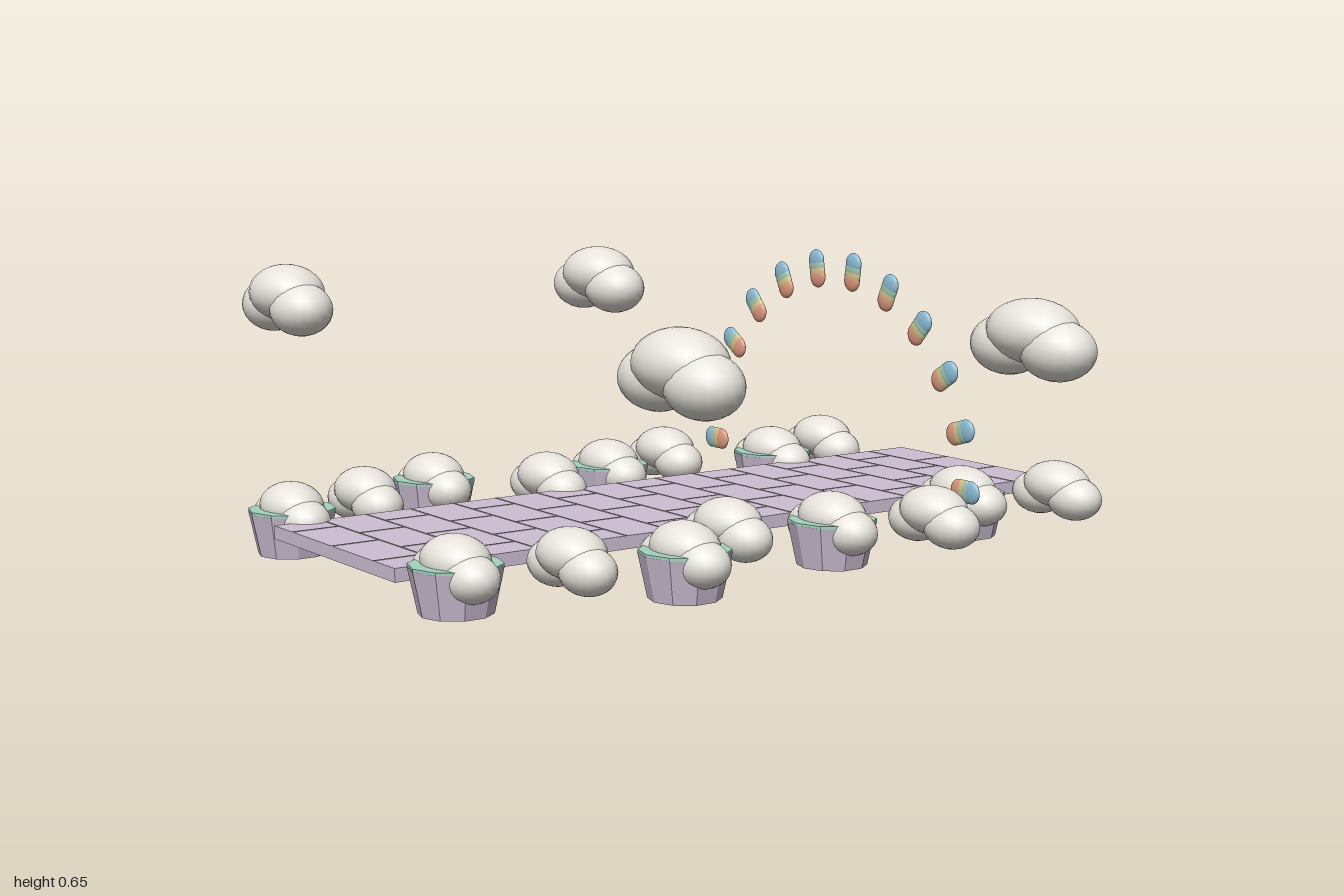
import * as THREE from 'three';

const mat = (name, color, flatShading = false) => {
  const m = new THREE.MeshStandardMaterial({ color, flatShading });
  m.name = name;
  return m;
};

export function createModel() {
  const root = new THREE.Group();
  const lilac = mat('lilac stone', 0xcdbfd3, true);
  const seam = mat('pale seam', 0xbfb4bd);
  const white = mat('cloud white', 0xe6e4dc);
  const green = mat('mint rim', 0xa3d2bf, true);
  const rainbow = [
    mat('coral', 0xe09a80), mat('soft yellow', 0xd8c48c),
    mat('soft green', 0xa0c8b0), mat('sky blue', 0x8cbcd6),
  ];

  const add = (parent, name, geo, material, x, y, z) => {
    const m = new THREE.Mesh(geo, material);
    m.name = name;
    m.position.set(x, y, z);
    parent.add(m);
    return m;
  };

  // Walkway slab
  const W = 0.55, L = 1.838, midZ = -0.009, top = 0.088;
  add(root, 'walkway', new THREE.BoxGeometry(W, 0.03, L), lilac, 0, top - 0.015, midZ);

  // Staggered paving seams on the slab
  const seams = new THREE.Group();
  seams.name = 'pavingSeams';
  root.add(seams);
  const rows = 16, step = L / rows;
  const across = new THREE.BoxGeometry(W - 0.004, 0.002, 0.004);
  const along = new THREE.BoxGeometry(0.004, 0.002, step);
  for (let i = 0; i < rows; i++) {
    const z = midZ - L / 2 + i * step;
    if (i > 0) add(seams, 'rowSeam', across, seam, 0, top, z);
    const joints = i % 2 ? [-0.185, 0, 0.185] : [-0.0925, 0.0925];
    for (const x of joints) add(seams, 'jointSeam', along, seam, x, top, z + step / 2);
  }

  // Puffs: one central ellipsoid with a lower lobe on each side
  const ball = new THREE.SphereGeometry(1, 20, 14);
  const cloud = (name, x, y, z, s) => {
    const g = new THREE.Group();
    g.name = name;
    g.position.set(x, y, z);
    g.scale.setScalar(s);
    add(g, 'centrePuff', ball, white, 0, 0.035, 0).scale.set(0.115, 0.07, 0.087);
    for (const side of [-1, 1])
      add(g, 'sidePuff', ball, white, side * 0.075, 0, 0).scale.set(0.092, 0.066, 0.074);
    root.add(g);
  };

  // Borders: puffs along both sides, every second one in a planter
  const pot = new THREE.CylinderGeometry(0.1, 0.079, 0.098, 10);
  const rim = new THREE.CylinderGeometry(0.0995, 0.0995, 0.006, 10);
  for (const side of [-1, 1]) {
    for (let i = 0; i < 8; i++) {
      const x = side * (0.367 + 0.079 * (i % 3));
      const z = 0.82 - 0.2305 * i;
      cloud('borderPuff', x, 0.082, z, 0.785);
      if (i % 2 === 0) {
        add(root, 'planter', pot, lilac, x, 0.049, z);
        add(root, 'planterRim', rim, green, x, 0.101, z);
      }
    }
    // Floating clouds
    for (const z of [0.59, -0.332]) cloud('floatingCloud', side * 0.832, 0.51, z, 1);
  }

  // Rainbow arch of flat beads pointing outward from the centre
  const arch = new THREE.Group();
  arch.name = 'rainbowArch';
  arch.position.set(0, 0.13, -0.468);
  root.add(arch);
  for (let i = 0; i < 12; i++) {
    const bead = new THREE.Group();
    bead.name = 'rainbowBead';
    bead.rotation.z = (Math.PI * i) / 11;
    rainbow.forEach((m, k) =>
      add(bead, 'beadBand', ball, m, 0.48 + (k - 1.5) * 0.0135, 0, 0).scale.set(0.027, 0.027, 0.01));
    arch.add(bead);
  }
  return root;
}
